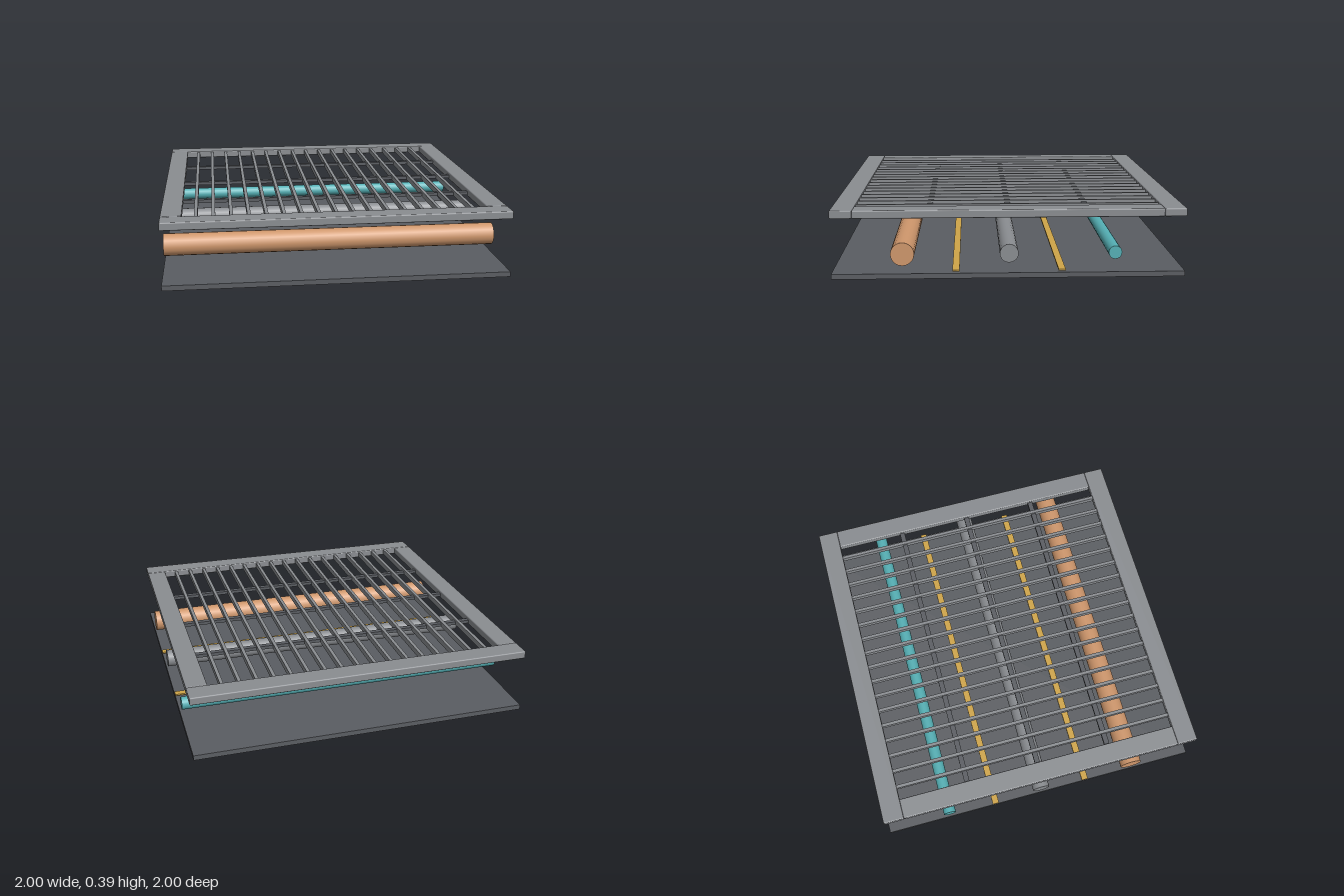
import * as THREE from 'three';
import { RoundedBoxGeometry } from 'three/addons/geometries/RoundedBoxGeometry.js';

function material(name, color) {
  const m = new THREE.MeshStandardMaterial({ color });
  m.name = name;
  return m;
}

export function createModel() {
  const steel = material('steel grey', 0x8a8d91);
  const dark = material('dark grey', 0x5a5d62);
  const copper = material('copper', 0xcf976c);
  const teal = material('teal', 0x55b0b5);
  const gold = material('gold', 0xcfa548);

  const model = new THREE.Group();
  model.name = 'gratedServiceFloor';

  function add(parent, name, geometry, mat, x, y, z) {
    const mesh = new THREE.Mesh(geometry, mat);
    mesh.name = name;
    mesh.position.set(x, y, z);
    parent.add(mesh);
    return mesh;
  }
  function group(name) {
    const g = new THREE.Group();
    g.name = name;
    model.add(g);
    return g;
  }

  // Base plate
  add(model, 'basePlate', new THREE.BoxGeometry(2, 0.03, 2), dark, 0, 0.015, 0);

  // Pipes running side to side
  const pipes = group('pipes');
  for (const [name, radius, z, mat] of [
    ['copperPipe', 0.067, 0.6, copper],
    ['greyPipe', 0.053, 0, steel],
    ['tealPipe', 0.038, -0.6, teal],
  ]) {
    const geometry = new THREE.CylinderGeometry(radius, radius, 2, 20).rotateZ(Math.PI / 2);
    add(pipes, name, geometry, mat, 0, 0.143, z);
  }

  // Flat strips just above the base
  const strips = group('strips');
  for (const z of [0.3, -0.3]) {
    add(strips, 'strip', new THREE.BoxGeometry(2, 0.009, 0.04), gold, 0, 0.044, z);
  }

  // Grating frame with softened edges
  const frame = group('gratingFrame');
  const height = 0.047, level = 0.371;
  for (const s of [1, -1]) {
    add(frame, s > 0 ? 'frontRail' : 'backRail',
      new RoundedBoxGeometry(2, height, 0.125, 2, 0.007), steel, 0, level, s * 0.9375);
    add(frame, s > 0 ? 'leftRail' : 'rightRail',
      new RoundedBoxGeometry(0.12, height, 1.75, 2, 0.007), steel, s * 0.94, level, 0);
  }

  // Grating slats
  const slats = group('slats');
  const slatGeometry = new THREE.BoxGeometry(0.02, 0.034, 1.76);
  for (let i = -8; i <= 8; i++) {
    add(slats, 'slat', slatGeometry, steel, i * 0.1, 0.371, 0);
  }

  // Cross bars tying the slats together
  const bars = group('crossBars');
  for (const z of [-0.45, 0, 0.45]) {
    add(bars, 'crossBar', new THREE.BoxGeometry(1.78, 0.02, 0.032), dark, 0, 0.366, z);
  }

  return model;
}
